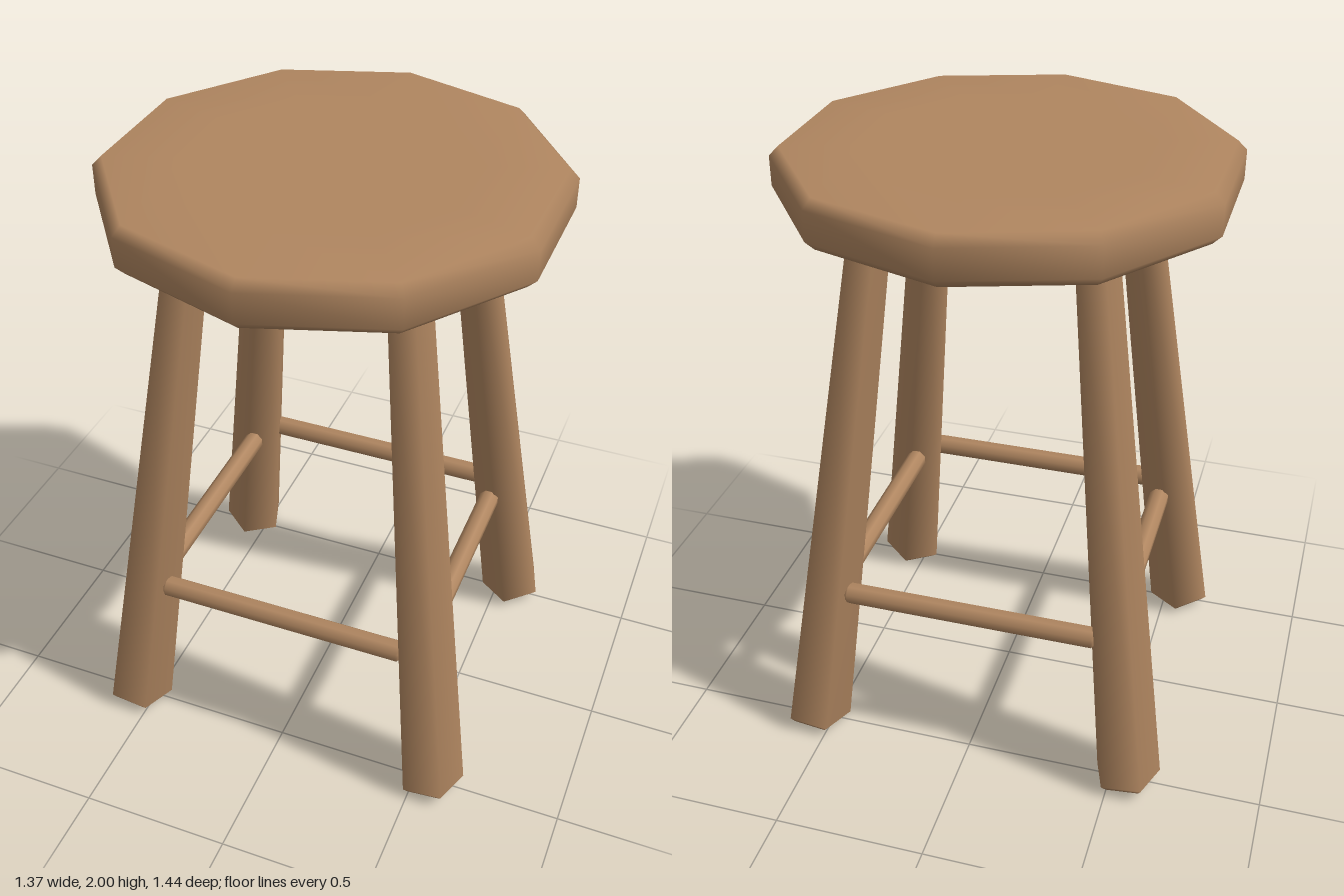
import * as THREE from 'three';

// Turned bar along +y from 0 to length, tapered, with chamfered ends
function turned(length, rBottom, rTop, chamfer, sides, phase) {
  const profile = [
    [0, 0], [rBottom - chamfer, 0], [rBottom, chamfer],
    [rTop, length - chamfer], [rTop - chamfer, length], [0, length],
  ].map(([r, y]) => new THREE.Vector2(r, y));
  return new THREE.LatheGeometry(profile, sides, phase);
}

// Turned bar running between two points
function bar(name, from, to, rFrom, rTo, chamfer, sides, phase, material) {
  const axis = to.clone().sub(from);
  const mesh = new THREE.Mesh(turned(axis.length(), rFrom, rTo, chamfer, sides, phase), material);
  mesh.name = name;
  mesh.position.copy(from);
  mesh.quaternion.setFromUnitVectors(new THREE.Vector3(0, 1, 0), axis.normalize());
  return mesh;
}

export function createModel() {
  const model = new THREE.Group();
  model.name = 'stool';
  const wood = new THREE.MeshStandardMaterial({ color: 0xb08660 });
  wood.name = 'wood';
  const v = (x, y, z) => new THREE.Vector3(x, y, z);

  // Ten-sided seat with softened rims
  const seatProfile = [
    [0, 1.845], [0.45, 1.845], [0.69, 1.845], [0.72, 1.875],
    [0.72, 1.97], [0.69, 2], [0.45, 2], [0, 2],
  ].map(([r, y]) => new THREE.Vector2(r, y));
  const seat = new THREE.Mesh(new THREE.LatheGeometry(seatProfile, 10), wood);
  seat.name = 'seat';
  model.add(seat);

  // Four splayed five-sided legs, flat face outward in z
  for (const sx of [-1, 1]) {
    for (const sz of [-1, 1]) {
      const name = (sz > 0 ? 'front' : 'back') + (sx > 0 ? 'Left' : 'Right') + 'Leg';
      model.add(bar(name, v(sx * 0.557, 0.018, sz * 0.514), v(sx * 0.338, 1.86, sz * 0.307),
        0.113, 0.07, 0.02, 5, sz > 0 ? Math.PI : 0, wood));
    }
  }

  // Rungs joining neighbouring legs
  for (const s of [-1, 1]) {
    model.add(bar(s > 0 ? 'frontRung' : 'backRung',
      v(-0.423, 0.565, s * 0.48), v(0.423, 0.565, s * 0.48), 0.036, 0.036, 0.01, 8, Math.PI / 8, wood));
    model.add(bar(s > 0 ? 'leftRung' : 'rightRung',
      v(s * 0.47, 0.565, -0.365), v(s * 0.47, 0.565, 0.365), 0.036, 0.036, 0.01, 8, Math.PI / 8, wood));
  }
  return model;
}
